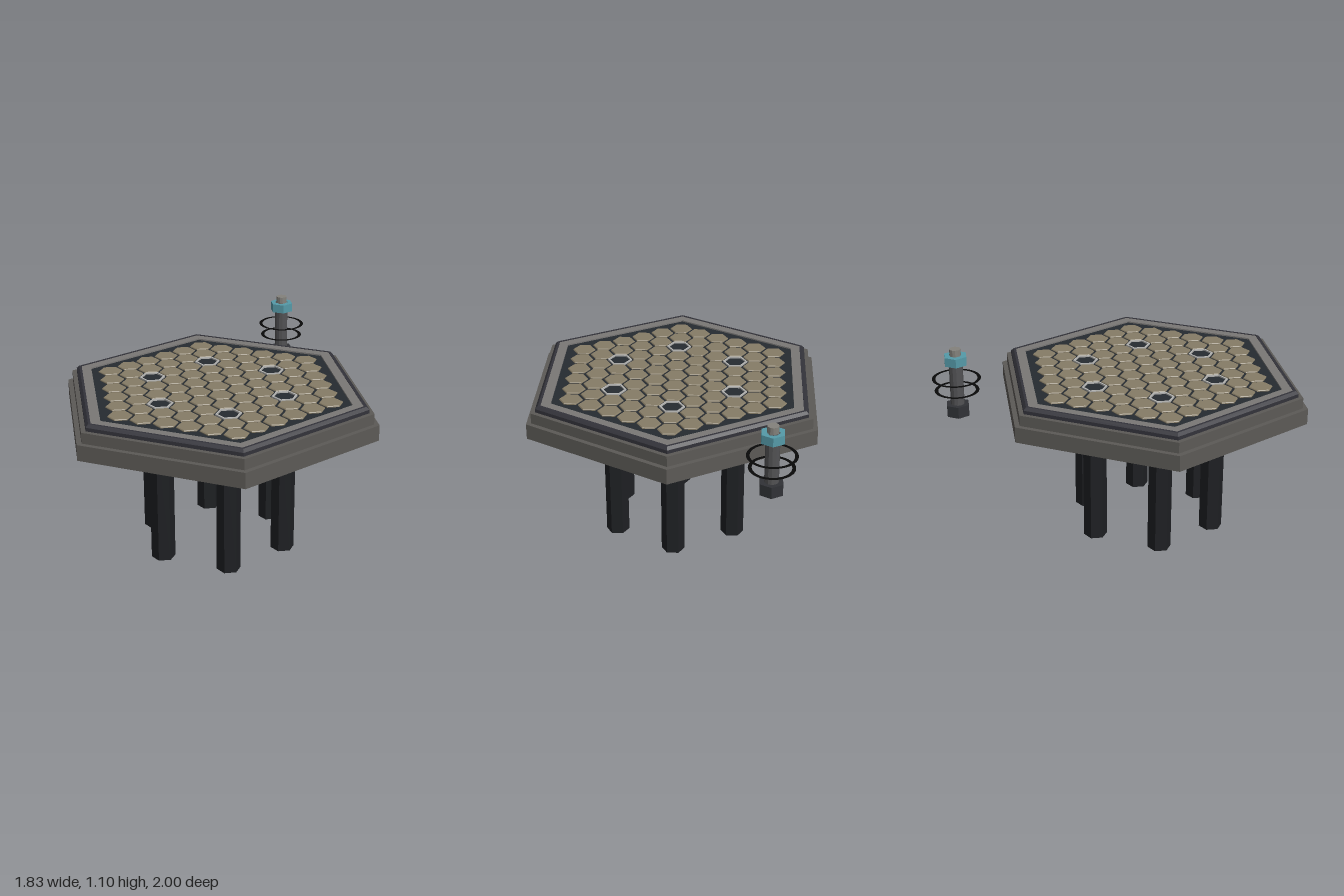
import * as THREE from 'three';

const paint = (color) => new THREE.MeshStandardMaterial({ color, flatShading: true, side: THREE.DoubleSide });

export function createModel() {
  const model = new THREE.Group();
  const stone = paint(0x5c5a56), trim = paint(0x7a7876), slate = paint(0x262b31), rimDark = paint(0x33333a);
  const tan = paint(0x867c66), legDark = paint(0x1e2023), light = paint(0xb4b4b2), steel = paint(0x525254);
  const headDark = paint(0x303236), teal = paint(0x559aa8), tipGrey = paint(0x84827c), black = paint(0x080808);

  const add = (parent, name, geometry, material, x = 0, y = 0, z = 0) => {
    const mesh = new THREE.Mesh(geometry, material);
    mesh.name = name;
    mesh.position.set(x, y, z);
    parent.add(mesh);
    return mesh;
  };
  // Solid turned from [radius, height] pairs; start = PI/6 puts corners on the x axis, 0 on the z axis
  const turned = (profile, start = Math.PI / 6, sides = 6) =>
    new THREE.LatheGeometry(profile.map(([r, y]) => new THREE.Vector2(r, y)), sides, start);
  const prism = (r, y0, y1, sides) => turned([[0, y0], [r, y0], [r, y1], [0, y1]], Math.PI / 6, sides);

  // Stepped hexagonal platform, hollow on the underside
  const platform = new THREE.Group();
  platform.name = 'platform';
  platform.position.z = 0.207;
  model.add(platform);
  add(platform, 'lowerTier', turned([[0, 0.815], [0.905, 0.815], [0.905, 0.737], [0.915, 0.737],
    [0.915, 0.825], [0.88, 0.825]]), stone);
  add(platform, 'middleTier', turned([[0.885, 0.825], [0.885, 0.885], [0.85, 0.885]]), stone);
  add(platform, 'darkRim', turned([[0.857, 0.885], [0.857, 0.905], [0.84, 0.92], [0.825, 0.92],
    [0.825, 0.91]]), rimDark);
  add(platform, 'trimRing', turned([[0.825, 0.918], [0.765, 0.918], [0.765, 0.91]]), trim);
  add(platform, 'panel', turned([[0.825, 0.91], [0, 0.91]]), slate);

  // Honeycomb of tiles; six cells hold a socket with a hollow leg below it
  const pitch = 0.129, rowStep = pitch * Math.sqrt(3) / 2;
  const tile = turned([[0.066, 0.91], [0.066, 0.914], [0.062, 0.918], [0, 0.918]], 0);
  const socket = turned([[0.071, 0.91], [0.071, 0.918], [0.06, 0.918], [0.06, 0.91]], 0);
  const leg = turned([[0.066, 0], [0.066, 0.815]], 0);
  for (let row = -5; row <= 5; row++) {
    const count = 11 - Math.abs(row);
    for (let i = 0; i < count; i++) {
      const col = i - (count - 1) / 2;
      const x = col * pitch, z = row * rowStep;
      const isSocket = (row === 0 && Math.abs(col) === 3) || (Math.abs(row) === 3 && Math.abs(col) === 1.5);
      if (isSocket) {
        add(platform, 'socketRim', socket, light, x, 0, z);
        add(platform, 'leg', leg, legDark, x, 0, z);
      } else {
        add(platform, 'tile', tile, tan, x, 0, z);
      }
    }
  }

  // Free-standing bolt behind the platform
  const bolt = new THREE.Group();
  bolt.name = 'bolt';
  bolt.position.z = -0.867;
  model.add(bolt);
  add(bolt, 'boltHead', prism(0.069, 0.715, 0.78), headDark);
  add(bolt, 'boltShaft', prism(0.038, 0.78, 1.065, 12), steel);
  add(bolt, 'boltNut', prism(0.068, 1.015, 1.065), teal);
  add(bolt, 'boltTip', prism(0.031, 1.065, 1.103, 12), tipGrey);
  // Two flat rings floating around the shaft
  for (const [inner, outer, y] of [[0.103, 0.123, 0.86], [0.115, 0.134, 0.93]]) {
    add(bolt, 'flatRing', new THREE.RingGeometry(inner, outer, 40), black, 0, y, 0).rotation.x = -Math.PI / 2;
  }
  return model;
}
